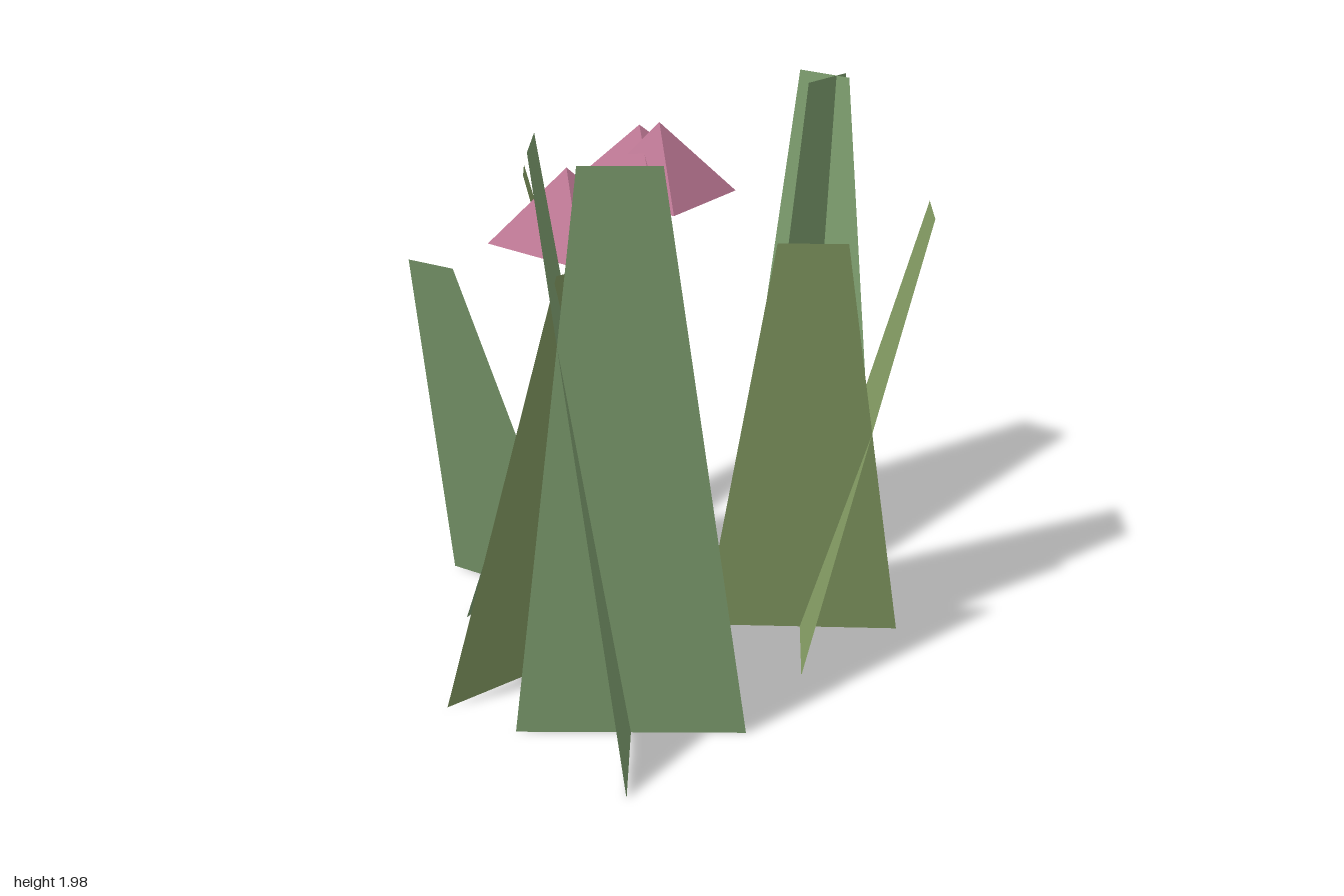
import * as THREE from 'three';

const green = new THREE.MeshStandardMaterial({ color: 0x7f9f70, side: THREE.DoubleSide, flatShading: true });
const olive = new THREE.MeshStandardMaterial({ color: 0x88a066, side: THREE.DoubleSide, flatShading: true });
const pink = new THREE.MeshStandardMaterial({ color: 0xb87590, flatShading: true });

// Tapered flat blade standing at the origin, spread along x and leaning towards +z
function bladeGeometry(halfWidth, height, lean) {
  const top = halfWidth * 0.32;
  const g = new THREE.BufferGeometry();
  g.setAttribute('position', new THREE.Float32BufferAttribute([
    -halfWidth, 0, 0, halfWidth, 0, 0, top, height, lean, -top, height, lean,
  ], 3));
  g.setIndex([0, 1, 2, 0, 2, 3]);
  g.computeVertexNormals();
  return g;
}

// Two blades crossing at right angles; angle is the first lean direction, from +x towards +z
function tuft({ name, x, z, angle, halfWidth, height, lean, material }) {
  const group = new THREE.Group();
  group.name = name;
  group.position.set(x, 0, z);
  const geometry = bladeGeometry(halfWidth, height, lean);
  for (const turn of [0, 90]) {
    const blade = new THREE.Mesh(geometry, material);
    blade.name = 'grassBlade';
    blade.rotation.y = THREE.MathUtils.degToRad(90 - angle - turn);
    group.add(blade);
  }
  return group;
}

// Four-sided pyramid blossom with its corners on the x and z axes
function blossom(x, z, base, top, rx, rz) {
  const mesh = new THREE.Mesh(new THREE.ConeGeometry(1, 1, 4).translate(0, 0.5, 0), pink);
  mesh.name = 'blossom';
  mesh.position.set(x, base, z);
  mesh.scale.set(rx, top - base, rz);
  return mesh;
}

export function createModel() {
  const model = new THREE.Group();
  model.name = 'grassWithBlossoms';

  // Grass tufts
  const tufts = [
    { name: 'backLeftTuft', x: 0.62, z: -0.715, angle: -38.5, halfWidth: 0.353, height: 1.865, lean: 0.055, material: green },
    { name: 'leftTuft', x: 0.42, z: 0.03, angle: 13, halfWidth: 0.35, height: 1.58, lean: 0.405, material: olive },
    { name: 'frontTuft', x: -0.297, z: 0.622, angle: 101, halfWidth: 0.378, height: 1.98, lean: 0.27, material: green },
    { name: 'backRightTuft', x: -0.565, z: -0.48, angle: 43, halfWidth: 0.3, height: 1.39, lean: 0.4, material: green },
    { name: 'backTuft', x: -0.07, z: -0.75, angle: 97, halfWidth: 0.25, height: 1.54, lean: 0.39, material: olive },
    { name: 'rightTuft', x: -0.607, z: 0.2, angle: -30, halfWidth: 0.315, height: 1.575, lean: 0.39, material: olive },
  ];
  for (const t of tufts) model.add(tuft(t));

  // Blossoms
  model.add(
    blossom(-0.385, -0.06, 1.49, 1.735, 0.267, 0.333),
    blossom(-0.09, -0.385, 1.55, 1.79, 0.3, 0.325),
    blossom(-0.03, -0.325, 1.555, 1.81, 0.27, 0.28),
  );
  return model;
}
